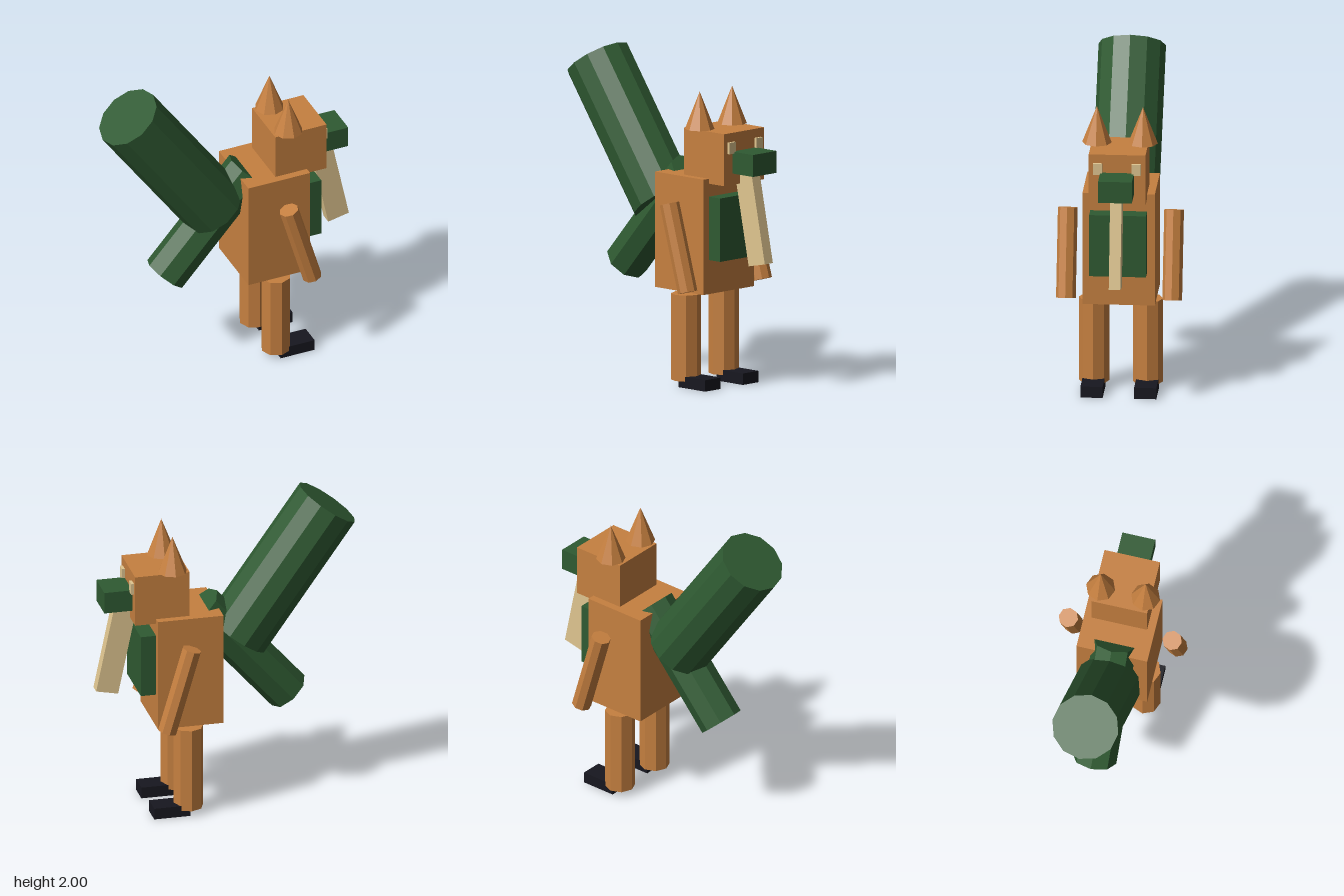
import * as THREE from 'three';

export function createModel() {
  const model = new THREE.Group();
  const mat = (color) => new THREE.MeshStandardMaterial({ color, flatShading: true });
  const orange = mat(0xc68040);
  const green = mat(0x2f5a32);
  const cream = mat(0xe0c690);
  const black = mat(0x17171f);

  const add = (name, geometry, material, x, y, z = 0, tilt = 0) => {
    const mesh = new THREE.Mesh(geometry, material);
    mesh.name = name;
    mesh.position.set(x, y, z);
    mesh.rotation.z = tilt;
    model.add(mesh);
  };
  // Box given by its x and y limits, its z centre and its depth
  const box = (name, material, x0, x1, y0, y1, depth, z = 0) =>
    add(name, new THREE.BoxGeometry(x1 - x0, y1 - y0, depth), material, (x0 + x1) / 2, (y0 + y1) / 2, z);
  const rod = (radius, length, sides = 8) => new THREE.CylinderGeometry(radius, radius, length, sides);

  // Torso and head, facing +x
  box('body', orange, 0.06, 0.47, 0.59, 1.3, 0.44);
  box('belly', green, 0.4, 0.565, 0.8, 1.19, 0.345);
  box('head', orange, 0.26, 0.6, 1.27, 1.59, 0.345);
  box('snout', green, 0.55, 0.775, 1.34, 1.475, 0.205);
  add('tongue', new THREE.BoxGeometry(0.14, 0.6, 0.07), cream, 0.68, 1.077, 0, 0.205);

  // Paired parts
  for (const [side, s] of [['right', 1], ['left', -1]]) {
    box(side + 'Eye', cream, 0.57, 0.618, 1.465, 1.535, 0.055, s * 0.117);
    add(side + 'Ear', new THREE.ConeGeometry(0.09, 0.23, 8), orange, 0.36, 1.705, s * 0.14);
    add(side + 'Arm', rod(0.06, 0.55), orange, 0.36, 0.88, s * 0.323, 0.284);
    add(side + 'Leg', rod(0.092, 0.53), orange, 0.267, 0.305, s * 0.163);
    box(side + 'Foot', black, 0.27, 0.495, 0, 0.07, 0.135, s * 0.163);
  }

  // Tail: a slim base sloping down and a thick brush rising from it
  add('tailBase', rod(0.135, 0.826), green, -0.125, 0.973, 0, -0.72);
  add('tailBrush', rod(0.205, 0.985, 12), green, -0.358, 1.48, 0, 0.614);

  return model;
}
